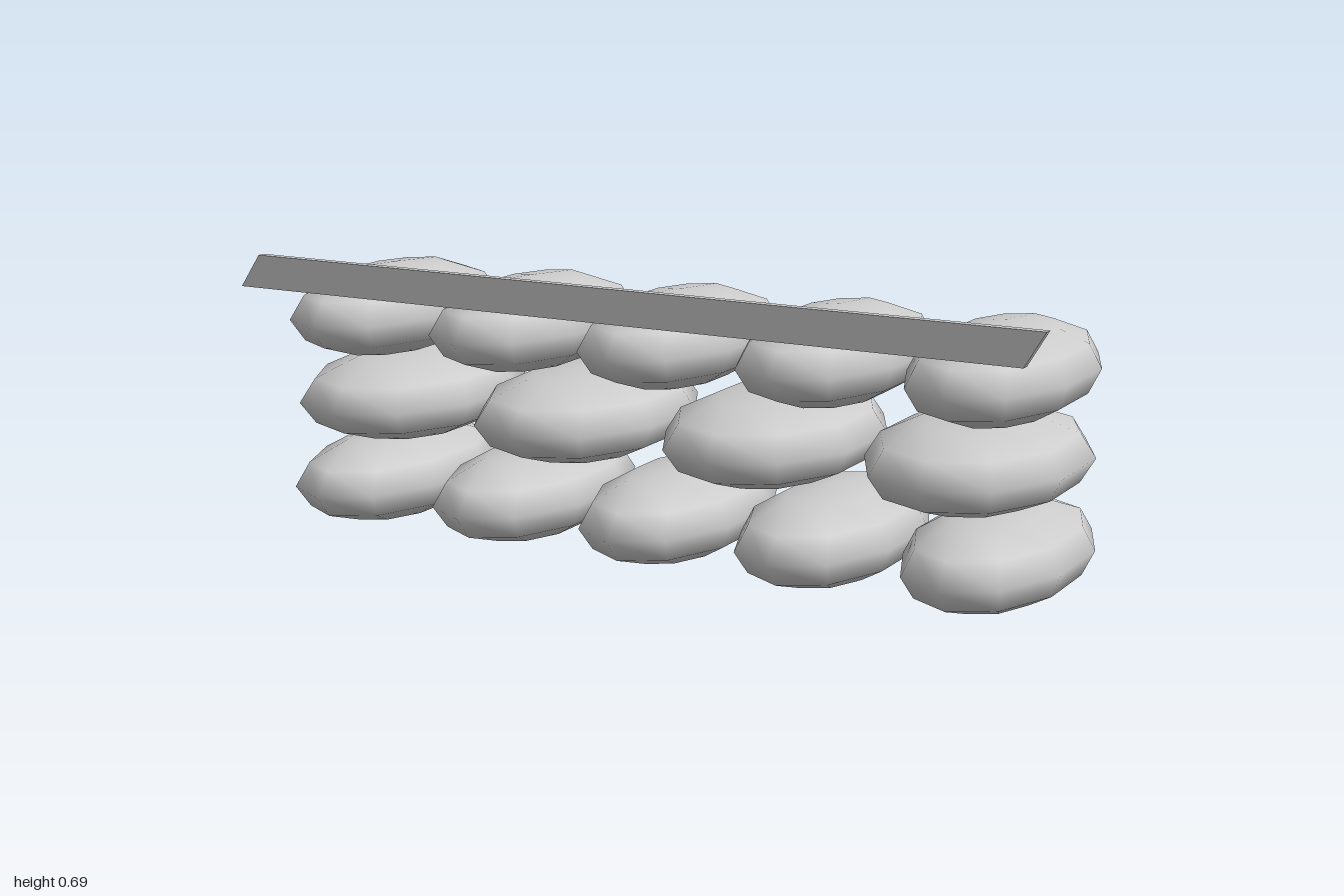
import * as THREE from 'three';

export function createModel() {
  const model = new THREE.Group();
  const material = new THREE.MeshStandardMaterial({ color: 0xcccccc });

  // Low-sided ellipsoid with pointed ends facing front and back
  const bagGeometry = new THREE.SphereGeometry(1, 10, 6).rotateY(Math.PI / 2);

  // Staggered rows of sacks: five, four, five
  const rows = [
    { name: 'bottomSack', y: 0.112, count: 5, start: -0.817, step: 0.397, radiusX: 0.192 },
    { name: 'middleSack', y: 0.321, count: 4, start: -0.768, step: 0.496, radiusX: 0.24 },
    { name: 'topSack', y: 0.521, count: 5, start: -0.817, step: 0.397, radiusX: 0.192 },
  ];
  for (const row of rows) {
    for (let i = 0; i < row.count; i++) {
      const sack = new THREE.Mesh(bagGeometry, material);
      sack.name = row.name;
      sack.scale.set(row.radiusX, 0.109, 0.347);
      sack.position.set(row.start + i * row.step, row.y, -0.01);
      model.add(sack);
    }
  }

  // Thin slanted-end plank along the front of the top row
  const outline = new THREE.Shape([
    new THREE.Vector2(-1, 0.61),
    new THREE.Vector2(0.953, 0.61),
    new THREE.Vector2(1, 0.688),
    new THREE.Vector2(-0.947, 0.688),
  ]);
  const plank = new THREE.Mesh(
    new THREE.ExtrudeGeometry(outline, { depth: 0.02, bevelEnabled: false }),
    material
  );
  plank.name = 'plank';
  plank.position.z = 0.337;
  model.add(plank);

  return model;
}
